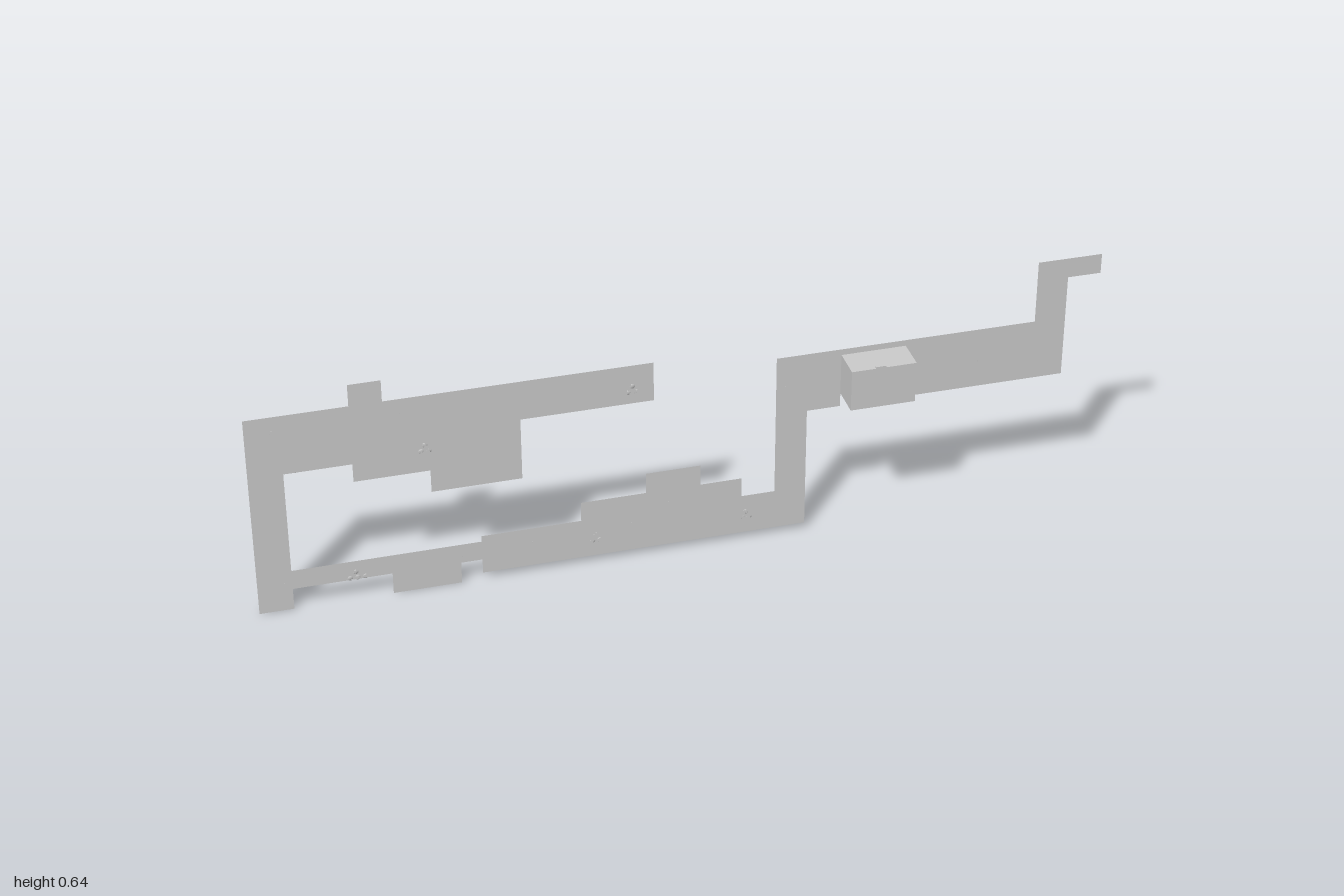
import * as THREE from 'three';

const stone = new THREE.MeshStandardMaterial({ color: 0xcccccc, side: THREE.DoubleSide });
stone.name = 'pale grey';

const WALL_Z = -0.018;

function add(parent, name, geometry, x = 0, y = 0, z = 0) {
  const mesh = new THREE.Mesh(geometry, stone);
  mesh.name = name;
  mesh.position.set(x, y, z);
  parent.add(mesh);
  return mesh;
}

const box = (w, h, d) => new THREE.BoxGeometry(w, h, d);

// Stepped backdrop: one long flat outline, notched behind the alcove
function wallGeometry() {
  const outline = [
    [-1, 0], [-0.92, 0], [-0.92, 0.055], [-0.69, 0.055], [-0.69, 0], [-0.53, 0],
    [-0.53, 0.055], [-0.48, 0.055], [-0.48, 0.018], [0.295, 0.018], [0.295, 0.33],
    [0.375, 0.33], [0.375, 0.468], [0.53, 0.468], [0.53, 0.33], [0.92, 0.33],
    [0.92, 0.59], [1, 0.59], [1, 0.64], [0.845, 0.64], [0.845, 0.483], [0.22, 0.483],
    [0.22, 0.12], [0.14, 0.12], [0.14, 0.17], [0.04, 0.17], [0.04, 0.223],
    [-0.09, 0.223], [-0.09, 0.17], [-0.245, 0.17], [-0.245, 0.12], [-0.48, 0.12],
    [-0.48, 0.105], [-0.92, 0.105], [-0.92, 0.367], [-0.765, 0.367], [-0.765, 0.32],
    [-0.59, 0.32], [-0.59, 0.262], [-0.38, 0.262], [-0.38, 0.42], [-0.07, 0.42],
    [-0.07, 0.52], [-0.69, 0.52], [-0.69, 0.575], [-0.765, 0.575], [-0.765, 0.52],
    [-1, 0.52],
  ];
  return new THREE.ShapeGeometry(new THREE.Shape(outline.map(([x, y]) => new THREE.Vector2(x, y))));
}

// Alcove: a box of five thin faces, open at the back
function buildAlcove() {
  const g = new THREE.Group();
  g.name = 'alcove';
  const x = 0.4525, y = 0.4165, w = 0.155, h = 0.103, z0 = WALL_Z, z1 = 0.06;
  const d = z1 - z0, zc = (z0 + z1) / 2;
  add(g, 'alcoveFront', new THREE.PlaneGeometry(w, h), x, y, z1);
  for (const s of [-1, 1]) {
    add(g, 'alcoveSide', new THREE.PlaneGeometry(d, h), x + s * w / 2, y, zc).rotation.y = s * Math.PI / 2;
    add(g, s > 0 ? 'alcoveCeiling' : 'alcoveFloor', new THREE.PlaneGeometry(w, d), x, y + s * h / 2, zc)
      .rotation.x = -s * Math.PI / 2;
  }
  add(g, 'alcoveLip', box(0.025, 0.004, 0.005), 0.445, 0.47, 0.0575);
  return g;
}

// Bulging barrel lying with its axis along z
const barrelGeometry = new THREE.LatheGeometry(
  [[0, -0.008], [0.0065, -0.008], [0.0082, -0.004], [0.0087, 0], [0.0082, 0.004], [0.0065, 0.008], [0, 0.008]]
    .map(([r, y]) => new THREE.Vector2(r, y)), 12).rotateX(Math.PI / 2);

function buildBarrels(name, x, y, spots, z = WALL_Z - 0.008) {
  const g = new THREE.Group();
  g.name = name;
  g.position.set(x, y, z);
  for (const [dx, dy] of spots) add(g, 'barrel', barrelGeometry, dx, dy, 0);
  return g;
}

// Railing with two rails and close-set posts
function buildRailing(x0, x1) {
  const g = new THREE.Group();
  g.name = 'railing';
  const z = -0.0575, mid = (x0 + x1) / 2;
  for (const y of [0.371, 0.383]) add(g, 'rail', box(x1 - x0, 0.003, 0.002), mid, y, z);
  const n = Math.round((x1 - x0) / 0.0125);
  for (let i = 0; i <= n; i++) {
    add(g, 'post', box(0.005, 0.025, 0.004), x0 + (x1 - x0) * i / n, 0.3775, z);
  }
  return g;
}

export function createModel() {
  const model = new THREE.Group();
  model.name = 'steppedBackdrop';
  add(model, 'wall', wallGeometry(), 0, 0, WALL_Z);
  model.add(buildAlcove());

  // Stacks of three barrels, then the flatter piles
  const stack = [[-0.0088, 0.009], [0.0088, 0.009], [0, 0.0245]];
  for (const [x, y] of [[-0.12, 0.441], [-0.6, 0.365], [0.15, 0.051], [-0.21, 0.051]]) {
    model.add(buildBarrels('barrelStack', x, y, stack));
  }
  const row = [[-0.0175, 0.009], [0, 0.009], [0.0175, 0.009]];
  model.add(buildBarrels('barrelPile', -0.77, 0.051, [...row, [-0.004, 0.0245]]));
  model.add(buildBarrels('barrelRow', -0.875, 0.364, row.slice(0, 2)));
  model.add(buildBarrels('alcoveBarrels', 0.43, 0.385, [...row, [0.035, 0.009]], 0));

  model.add(buildRailing(0.26, 0.58), buildRailing(0.64, 0.84));

  // Upright bars on the upper ledge
  [[-0.186, 0.04], [-0.205, 0.05], [-0.216, 0.062], [-0.228, 0.042], [-0.238, 0.02]].forEach(([x, h]) =>
    add(model, 'uprightBar', box(0.005, h, 0.003), x, 0.468, WALL_Z - 0.002));

  // Curved hook on the right wall
  const hook = new THREE.QuadraticBezierCurve3(
    new THREE.Vector3(0.68, 0.385, -0.022), new THREE.Vector3(0.69, 0.42, -0.022), new THREE.Vector3(0.735, 0.42, -0.022));
  add(model, 'hook', new THREE.TubeGeometry(hook, 10, 0.002, 6));

  // Small wall pegs
  const pegs = [
    [-0.94, 0.48], [-0.85, 0.46], [-0.75, 0.43], [-0.65, 0.48], [-0.51, 0.43], [-0.94, 0.07],
    [-0.69, 0.07], [-0.525, 0.07], [-0.36, 0.08], [-0.125, 0.09], [-0.035, 0.133], [0.056, 0.1],
    [0.24, 0.08], [0.24, 0.4], [0.54, 0.4], [0.71, 0.4],
  ];
  for (const [x, y] of pegs) add(model, 'peg', box(0.004, 0.009, 0.004), x, y, WALL_Z - 0.0015);

  return model;
}
